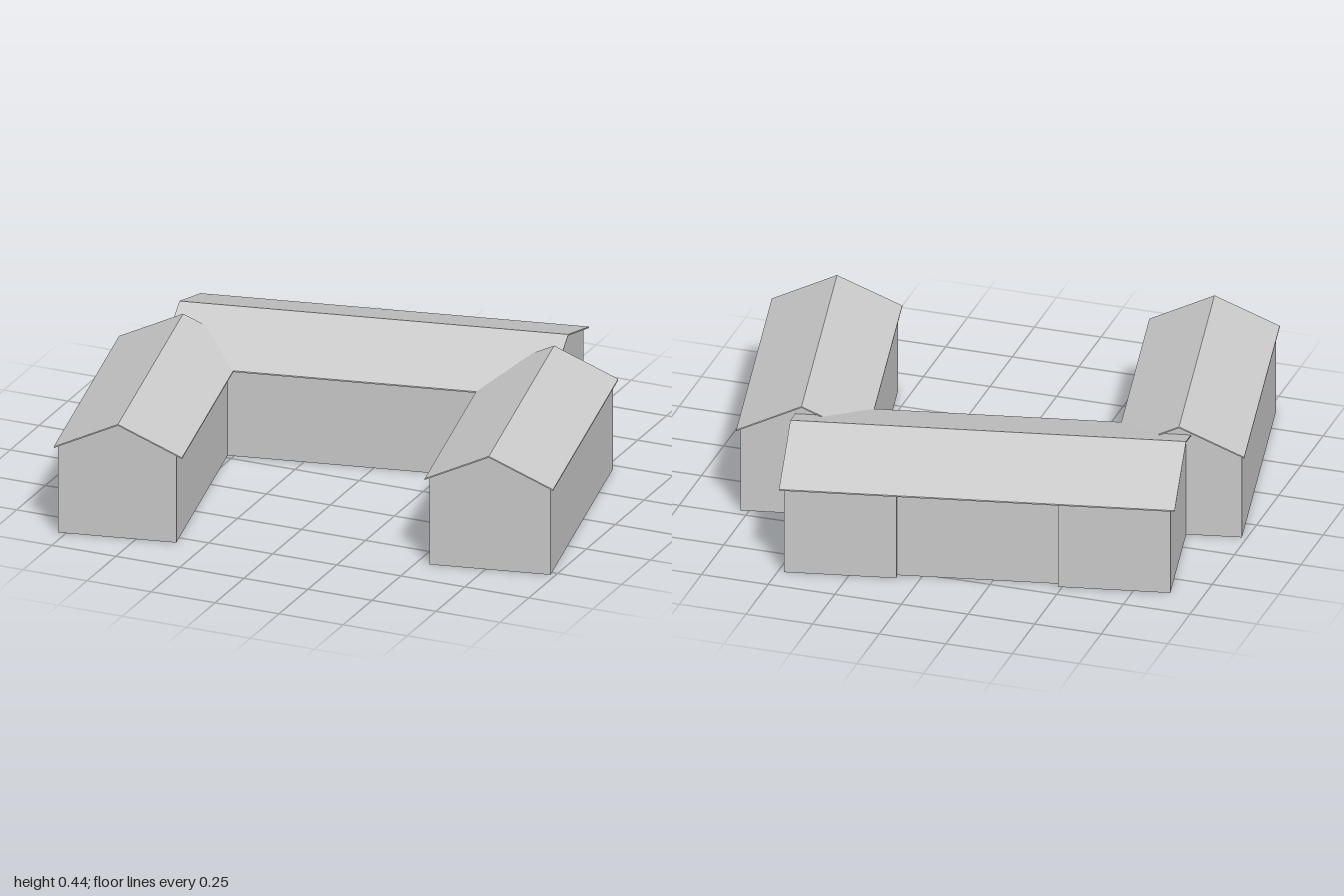
import * as THREE from 'three';

const material = new THREE.MeshStandardMaterial({
  color: 0xcccccc, flatShading: true, side: THREE.DoubleSide,
});

const WALL_TOP = 0.335, EAVE = 0.33, RIDGE = 0.442, THICK = 0.005;

// Flat polygons (triangles or quads) as one mesh
function facesMesh(name, polygons) {
  const positions = [];
  for (const p of polygons) {
    for (let i = 1; i < p.length - 1; i++) positions.push(...p[0], ...p[i], ...p[i + 1]);
  }
  const geometry = new THREE.BufferGeometry();
  geometry.setAttribute('position', new THREE.Float32BufferAttribute(positions, 3));
  geometry.computeVertexNormals();
  const mesh = new THREE.Mesh(geometry, material);
  mesh.name = name;
  return mesh;
}

// Thin gabled roof with its ridge along z, open underneath
function gableRoof(name, halfWidth, length) {
  const shape = new THREE.Shape([
    [-halfWidth, EAVE], [0, RIDGE - THICK], [halfWidth, EAVE],
    [halfWidth, EAVE + THICK], [0, RIDGE], [-halfWidth, EAVE + THICK],
  ].map(([x, y]) => new THREE.Vector2(x, y)));
  const geometry = new THREE.ExtrudeGeometry(shape, { depth: length, bevelEnabled: false });
  geometry.translate(0, 0, -length / 2);
  const mesh = new THREE.Mesh(geometry, material);
  mesh.name = name;
  return mesh;
}

export function createModel() {
  const model = new THREE.Group();
  model.name = 'courtyardBuilding';
  const building = new THREE.Group();
  building.name = 'building';
  building.rotation.y = 0.2014;
  model.add(building);

  // One continuous wall around the U-shaped footprint, with a recessed back bay
  const outline = [
    [-0.94, 0.708], [-0.508, 0.708], [-0.508, -0.125], [0.416, -0.125],
    [0.416, 0.708], [0.858, 0.708], [0.858, -0.304], [0.645, -0.304],
    [0.645, -0.775], [0.243, -0.775], [0.243, -0.75], [-0.338, -0.75],
    [-0.338, -0.775], [-0.74, -0.775], [-0.74, -0.304], [-0.94, -0.304],
  ];
  building.add(facesMesh('walls', outline.map(([x, z], i) => {
    const [nx, nz] = outline[(i + 1) % outline.length];
    return [[x, 0, z], [nx, 0, nz], [nx, WALL_TOP, nz], [x, WALL_TOP, z]];
  })));

  // Main range: roof runs along x, a gable at each end
  const mainRoof = gableRoof('mainRoof', 0.34, 1.419);
  mainRoof.rotation.y = Math.PI / 2;
  mainRoof.position.set(-0.0475, 0, -0.449);
  building.add(mainRoof);
  building.add(facesMesh('mainGables', [0.645, -0.74].map((x) => [
    [x, WALL_TOP, -0.125], [x, WALL_TOP, -0.775], [x, RIDGE - THICK, -0.449],
  ])));

  // Two wings running forward, their roofs cutting into the main roof
  const wings = [
    { side: 'right', ridge: -0.718, from: -0.94, to: -0.508 },
    { side: 'left', ridge: 0.636, from: 0.416, to: 0.858 },
  ];
  for (const { side, ridge, from, to } of wings) {
    const roof = gableRoof(`${side}WingRoof`, 0.234, 1.058);
    roof.position.set(ridge, 0, 0.193);
    building.add(roof);
    building.add(facesMesh(`${side}WingGables`, [0.708, -0.304].map((z) => [
      [from, WALL_TOP, z], [to, WALL_TOP, z], [ridge, RIDGE - THICK, z],
    ])));
  }
  return model;
}
